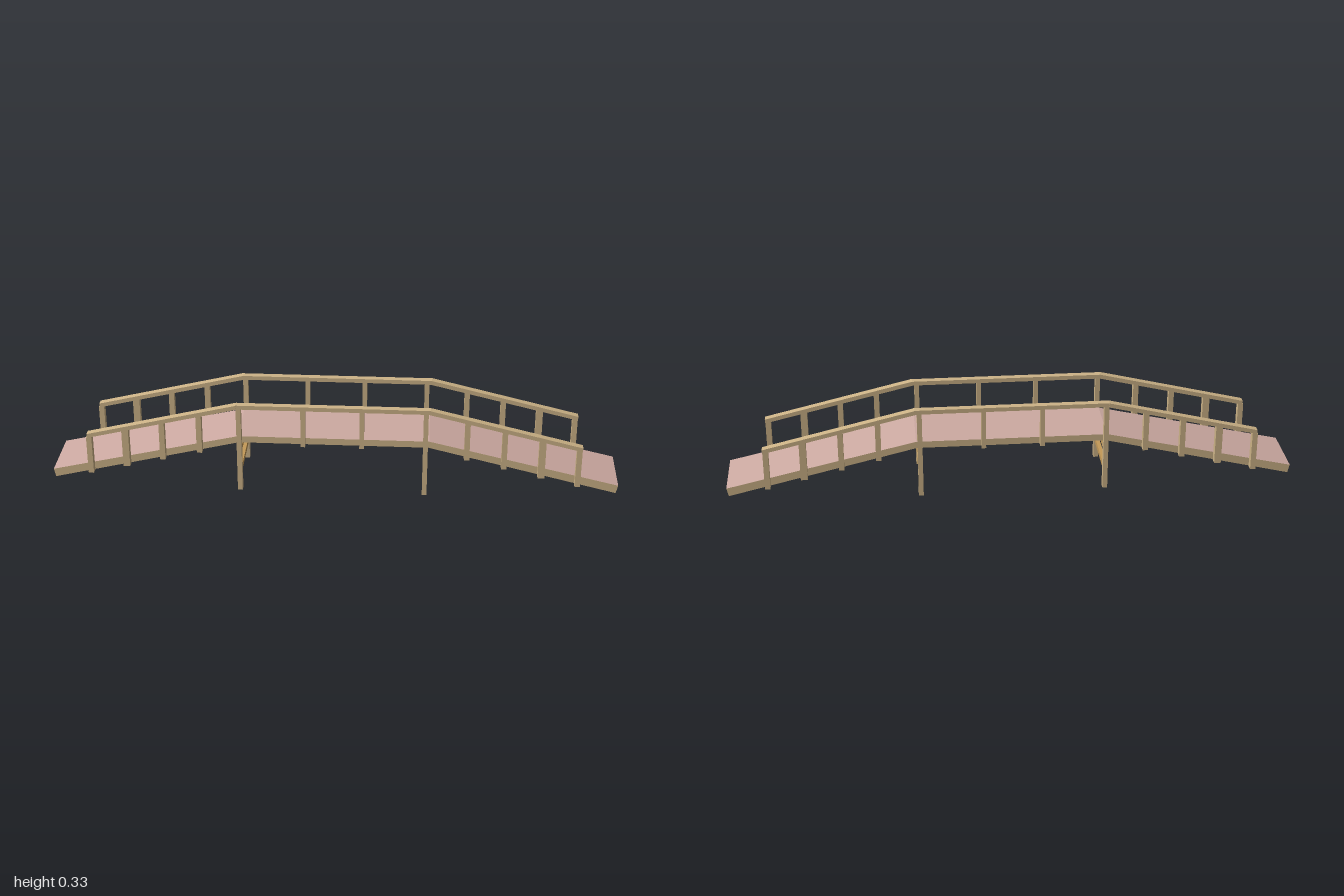
import * as THREE from 'three';

export function createModel() {
  const bridge = new THREE.Group();
  bridge.name = 'footbridge';
  const mat = (name, color) => {
    const m = new THREE.MeshStandardMaterial({ color });
    m.name = name;
    return m;
  };
  const wood = mat('lightWood', 0xcdb387);
  const brace = mat('braceWood', 0xc49a58);
  const walkway = mat('walkwayPink', 0xcdaaa2);
  const deckMaterials = [wood, wood, walkway, wood, wood, wood];

  // Box whose four side-view corners (bottom/top at each x end) are placed freely
  function beam(name, material, left, right, z0, z1) {
    const g = new THREE.BoxGeometry(1, 1, 1);
    const p = g.attributes.position;
    for (let i = 0; i < p.count; i++) {
      const end = p.getX(i) < 0 ? left : right;
      const [x, y] = p.getY(i) < 0 ? end[0] : end[1];
      p.setXYZ(i, x, y, p.getZ(i) < 0 ? z0 : z1);
    }
    g.computeVertexNormals();
    const mesh = new THREE.Mesh(g, material);
    mesh.name = name;
    bridge.add(mesh);
  }
  const flip = (end) => end.map(([x, y]) => [-x, y]);

  // Underside heights of the deck and the handrail
  const deckBottom = (x) => 0.177 - Math.max(0, Math.abs(x) - 0.332) * 0.24;
  const railBottom = (x) => 0.317 - Math.max(0, Math.abs(x) - 0.335) * 0.24;

  // Deck: level middle and two ramps
  const knee = [[0.332, 0.177], [0.335, 0.201]];
  const foot = [[0.993, 0.018], [1.0, 0.048]];
  beam('deckMiddle', deckMaterials, flip(knee), knee, -0.107, 0.107);
  beam('rampLeft', deckMaterials, knee, foot, -0.107, 0.107);
  beam('rampRight', deckMaterials, flip(foot), flip(knee), -0.107, 0.107);

  // Railings, posts and legs on both sides
  const railKnee = [[0.335, 0.317], [0.338, 0.332]];
  const railEnd = [[0.865, 0.19], [0.866, 0.205]];
  for (const side of [-1, 1]) {
    const span = (outer) => (side > 0 ? [0.107, outer] : [-outer, -0.107]);
    const wide = span(0.132), narrow = span(0.13);
    beam('handrailMiddle', wood, flip(railKnee), railKnee, ...narrow);
    beam('handrailLeft', wood, railKnee, railEnd, ...wide);
    beam('handrailRight', wood, flip(railEnd), flip(railKnee), ...wide);

    const post = (name, x, width, bottom, zs) => {
      const a = x - width / 2, b = x + width / 2;
      beam(name, wood, [[a, bottom], [a, railBottom(a) + 0.003]],
        [[b, bottom], [b, railBottom(b) + 0.003]], ...zs);
    };
    for (const x of [-0.859, -0.73, -0.6, -0.469, 0.855, 0.727, 0.596, 0.466]) {
      post('rampPost', x, Math.abs(x) > 0.7 && Math.abs(x) < 0.8 ? 0.024 : 0.019, deckBottom(x), wide);
    }
    for (const x of [-0.105, 0.1]) post('middlePost', x, 0.016, 0.177, narrow);
    for (const x of [-0.329, 0.322]) post('leg', x, 0.017, 0, narrow);
  }

  // Cross braces joining each pair of legs
  for (const x of [-0.329, 0.322]) {
    for (const y of [0.08, 0.155]) {
      const a = x - 0.007, b = x + 0.007;
      beam('crossBrace', brace, [[a, y - 0.01], [a, y + 0.01]], [[b, y - 0.01], [b, y + 0.01]], -0.109, 0.109);
    }
  }
  return bridge;
}
